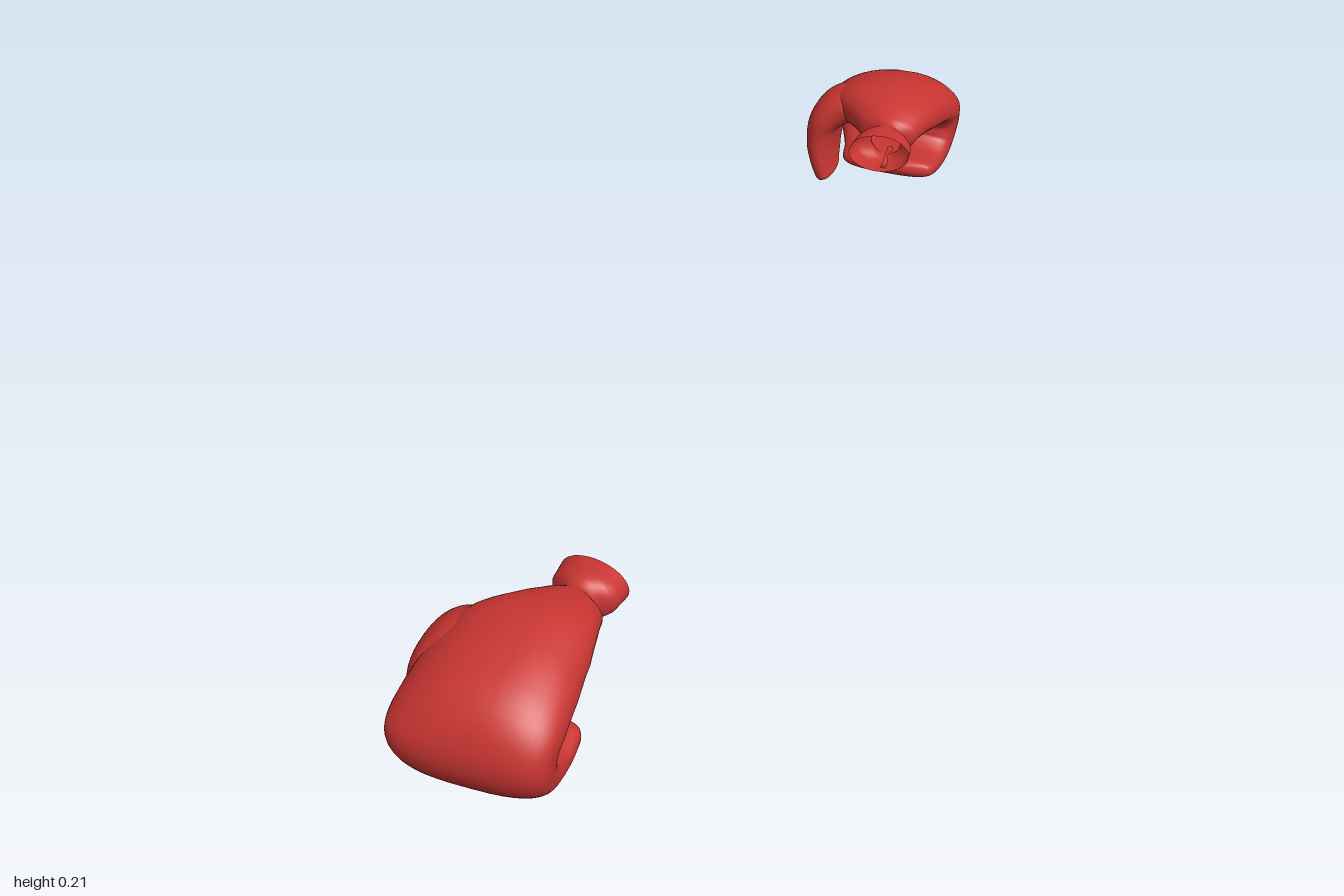
import * as THREE from 'three';

const SIDES = 40, RINGS = 80;

// Key sections: [x, y, z, half width, half thickness]
const HAND = [
  [0.056, 0.155, 0.653, 0.055, 0.036],
  [0.054, 0.155, 0.69, 0.051, 0.036],
  [0.050, 0.156, 0.725, 0.051, 0.036],
  [0.035, 0.163, 0.765, 0.074, 0.041],
  [0.014, 0.166, 0.815, 0.105, 0.045],
  [0.008, 0.155, 0.88, 0.118, 0.046],
  [0.006, 0.128, 0.932, 0.122, 0.049],
  [0.004, 0.086, 0.951, 0.119, 0.048],
  [0.008, 0.046, 0.932, 0.109, 0.039],
  [0.016, 0.031, 0.89, 0.098, 0.027],
  [0.020, 0.034, 0.85, 0.092, 0.022],
  [0.022, 0.042, 0.812, 0.085, 0.019],
];
const THUMB = [
  [-0.01, 0.162, 0.825, 0.045, 0.025],
  [-0.065, 0.152, 0.828, 0.055, 0.033],
  [-0.096, 0.122, 0.832, 0.066, 0.031],
  [-0.104, 0.078, 0.832, 0.066, 0.027],
  [-0.099, 0.038, 0.824, 0.056, 0.021],
  [-0.089, 0.002, 0.812, 0.036, 0.016],
];

const power = (v, p) => Math.sign(v) * Math.abs(v) ** p;

// Sweeps a rounded section along the keys and closes the far end with a dome.
// mirror = -1 reflects in z; hole(i, j) leaves faces out.
function sweep(keys, { widthAxis, roundness, mirror, adjust, hole }) {
  const path = new THREE.CatmullRomCurve3(keys.map(k => new THREE.Vector3(k[0], k[1], k[2])));
  const size = new THREE.CatmullRomCurve3(keys.map(k => new THREE.Vector3(k[3], k[4], 0)));
  const positions = [], index = [];
  for (let i = 0; i <= RINGS; i++) {
    const u = Math.sin(i / RINGS * Math.PI / 2);
    const centre = path.getPoint(u), s = size.getPoint(u);
    const across = widthAxis(u).normalize();
    const normal = path.getTangent(u).cross(across).normalize();
    const end = Math.max(0, (u - 0.93) / 0.07);
    const dome = Math.sqrt(Math.max(0, 1 - end * end));
    const halfWidth = s.x * (0.6 * Math.min(1, dome * 1.2) + 0.4 * dome) * (dome > 0 ? 1 : 0);
    for (let j = 0; j < SIDES; j++) {
      const a = j / SIDES * Math.PI * 2;
      const p = centre.clone()
        .addScaledVector(across, halfWidth * power(Math.cos(a), 2 / roundness(u)))
        .addScaledVector(normal, s.y * dome * power(Math.sin(a), 2 / roundness(u)));
      if (adjust) adjust(p);
      positions.push(p.x, Math.max(0, p.y), p.z * mirror);
      if (i === RINGS || (hole && hole(i, j))) continue;
      const n = (j + 1) % SIDES;
      const A = i * SIDES + j, B = i * SIDES + n, C = A + SIDES, D = B + SIDES;
      if (mirror > 0) index.push(A, B, C, B, D, C);
      else index.push(A, C, B, B, C, D);
    }
  }
  const g = new THREE.BufferGeometry();
  g.setAttribute('position', new THREE.Float32BufferAttribute(positions, 3));
  g.setIndex(index);
  g.computeVertexNormals();
  return g;
}

export function createModel() {
  const model = new THREE.Group();
  model.name = 'boxingGloves';
  const leather = new THREE.MeshStandardMaterial({ color: 0xc83532, side: THREE.DoubleSide });

  for (const mirror of [1, -1]) {
    const glove = new THREE.Group();
    glove.name = mirror > 0 ? 'frontGlove' : 'backGlove';

    // Open cuff, back of the hand and curled fingers, with a lacing slit under the cuff
    const hand = new THREE.Mesh(sweep(HAND, {
      mirror,
      widthAxis: u => new THREE.Vector3(1, 0, 0.14 * Math.max(0, 1 - u * 3.5)),
      roundness: u => 2 + 0.9 * THREE.MathUtils.smoothstep(u, 0.2, 0.5),
      // The back of the hand slopes down towards its sides
      adjust: p => {
        const w = THREE.MathUtils.smoothstep(p.z, 0.74, 0.85) * THREE.MathUtils.smoothstep(p.y, 0.08, 0.18);
        p.y -= 1.8 * w * (p.x - 0.03) ** 2;
      },
      hole: (i, j) => i > 1 && i < 11 && j === SIDES * 3 / 4,
    }), leather);
    hand.name = 'hand';

    // Thumb folding down beside the fingers
    const thumb = new THREE.Mesh(sweep(THUMB, {
      mirror,
      widthAxis: () => new THREE.Vector3(0, 0, 1),
      roundness: () => 2.3,
    }), leather);
    thumb.name = 'thumb';

    glove.add(hand, thumb);
    model.add(glove);
  }
  return model;
}
